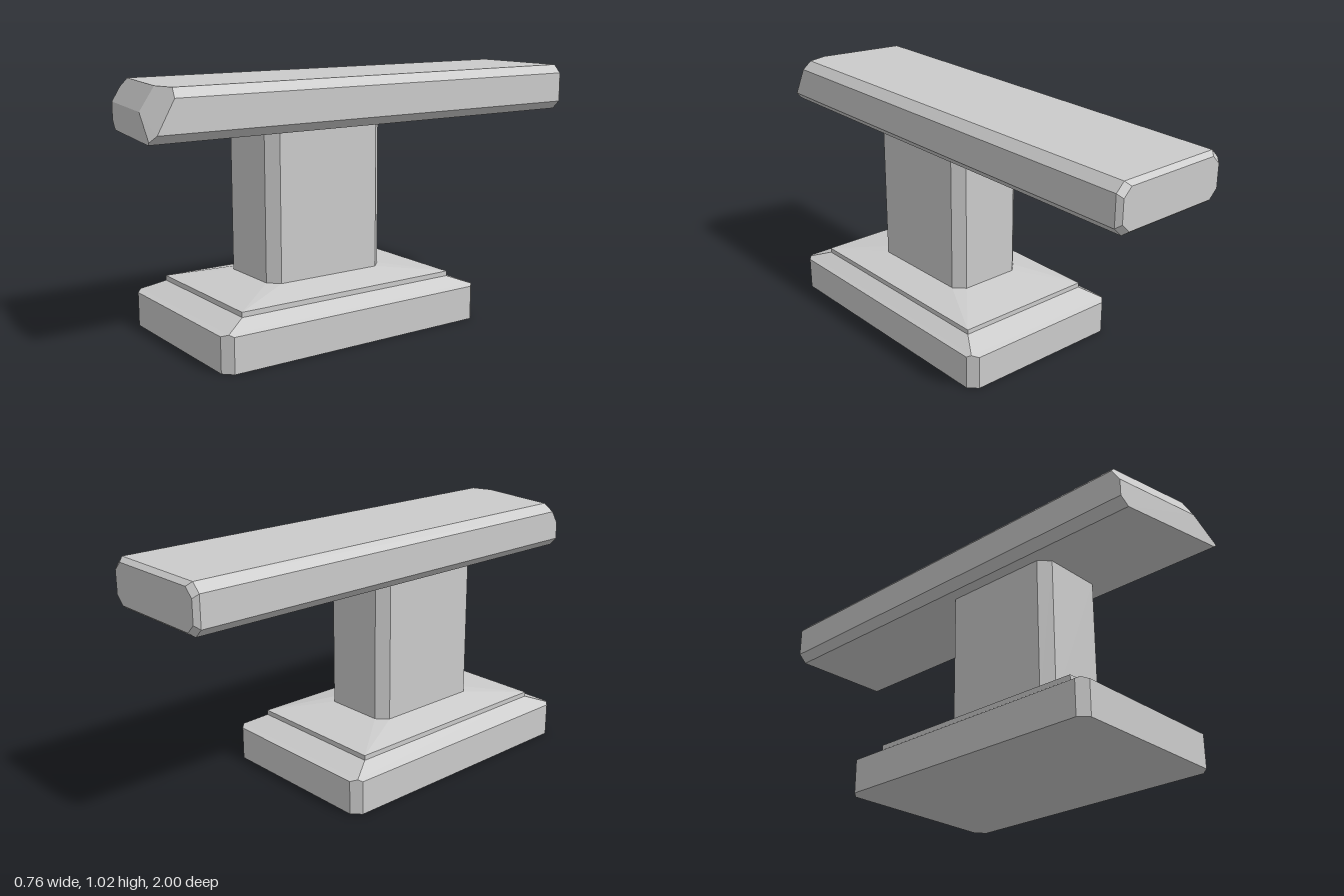
import * as THREE from 'three';
import { ConvexGeometry } from 'three/addons/geometries/ConvexGeometry.js';

const material = new THREE.MeshStandardMaterial({ color: 0xcccccc, flatShading: true });

// Rectangle with clipped corners, counter-clockwise: half sizes a and b, corner cut c
function clippedRect(a, b, c) {
  return [
    [a, b - c], [a, c - b], [a - c, -b], [c - a, -b],
    [-a, c - b], [-a, b - c], [c - a, b], [a - c, b],
  ];
}

// Capped solid through stacked rings, each { y, x, z, cut, cz }
function loft(levels) {
  const rings = levels.map(({ y, x, z, cut, cz }) =>
    clippedRect(x, z, cut).map(([px, pz]) => new THREE.Vector3(px, y, pz + cz)));
  const positions = [];
  const tri = (a, b, c) => {
    if (new THREE.Triangle(a, b, c).getArea() < 1e-8) return; // collapsed corner
    for (const p of [a, b, c]) positions.push(p.x, p.y, p.z);
  };
  for (let r = 0; r < rings.length - 1; r++) {
    const lo = rings[r], hi = rings[r + 1];
    for (let i = 0; i < 8; i++) {
      const j = (i + 1) % 8;
      tri(lo[i], lo[j], hi[j]);
      tri(lo[i], hi[j], hi[i]);
    }
  }
  const bottom = rings[0], top = rings[rings.length - 1];
  for (let i = 1; i < 7; i++) {
    tri(bottom[0], bottom[i + 1], bottom[i]);
    tri(top[0], top[i], top[i + 1]);
  }
  const geometry = new THREE.BufferGeometry();
  geometry.setAttribute('position', new THREE.Float32BufferAttribute(positions, 3));
  geometry.computeVertexNormals();
  return geometry;
}

// Long bevelled bar whose front end is cut by three slanted planes
function headGeometry() {
  const midY = 0.9275;
  const section = (inset) => clippedRect(0.26 - inset, 0.0975 - inset, 0.035)
    .map(([x, y]) => [x, y + midY]);
  const frontZ = (x, y) => Math.min(
    0.959 + 0.17 * x,
    0.959 + 0.17 * x - 0.63 * (y - 0.935),
    0.925 - 0.3 * (x - 0.14) - 0.56 * (y - 1.025),
  );
  // Places where the cutting planes meet each other and the outline
  const seams = [[-0.26, 0.935], [0.124, 0.935], [0.1377, 1.025], [0.236, 0.841]];
  const points = [
    ...[...section(0), ...seams].map(([x, y]) => new THREE.Vector3(x, y, frontZ(x, y))),
    ...section(0).map(([x, y]) => new THREE.Vector3(x, y, -0.98)),
    ...section(0.016).map(([x, y]) => new THREE.Vector3(x, y, -1)),
  ];
  return new ConvexGeometry(points);
}

export function createModel() {
  const model = new THREE.Group();
  model.name = 'pedestalWithBar';
  const add = (name, geometry) => {
    const mesh = new THREE.Mesh(geometry, material);
    mesh.name = name;
    model.add(mesh);
  };

  // Stepped foot
  add('base', loft([
    { y: 0, x: 0.38, z: 0.6, cut: 0.036, cz: 0.2 },
    { y: 0.14, x: 0.38, z: 0.6, cut: 0.036, cz: 0.2 },
    { y: 0.148, x: 0.366, z: 0.578, cut: 0, cz: 0.2 },
    { y: 0.182, x: 0.31, z: 0.49, cut: 0, cz: 0.2 },
    { y: 0.202, x: 0.31, z: 0.49, cut: 0, cz: 0.2 },
    { y: 0.235, x: 0.171, z: 0.27, cut: 0.043, cz: 0.205 },
  ]));

  // Upright post
  add('column', loft([0.23, 0.835].map((y) => (
    { y, x: 0.171, z: 0.27, cut: 0.043, cz: 0.205 }))));

  // Horizontal bar on top
  add('head', headGeometry());

  return model;
}
